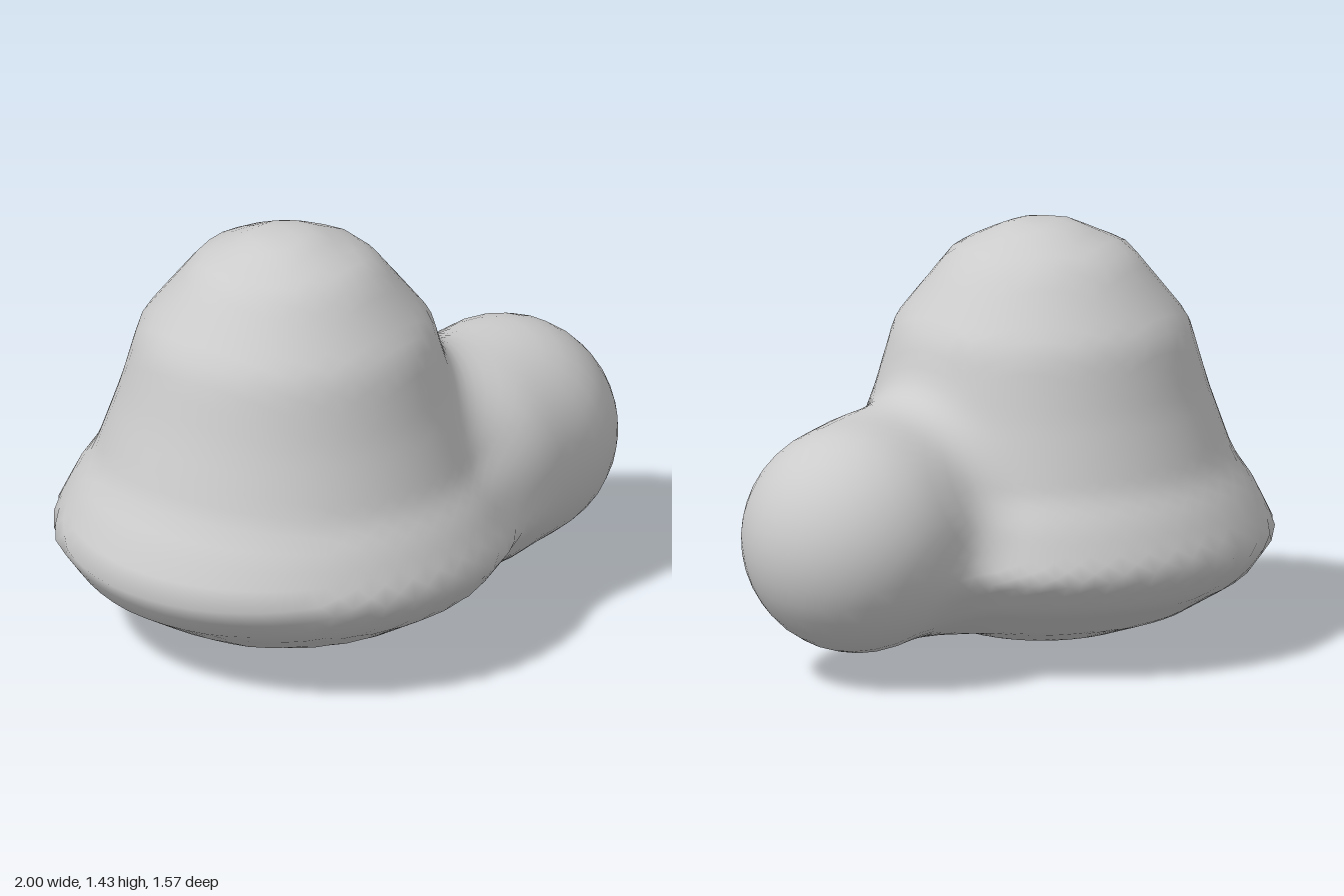
import * as THREE from 'three';
import { mergeVertices } from 'three/addons/utils/BufferGeometryUtils.js';

// Bell body: profile (radius, y) turned about a vertical axis
const BODY_X = -0.21;
const PROFILE = [
  [0, 0], [0.1, 0], [0.3, 0.05], [0.5, 0.12], [0.7, 0.24], [0.79, 0.365],
  [0.71, 0.53], [0.645, 0.62], [0.56, 0.86], [0.495, 1.09],
  [0.3, 1.335], [0.1, 1.428], [0, 1.428],
];

// Side lobe: a short capsule
const LOBE_A = new THREE.Vector3(0.4, 0.485, 0.3);
const LOBE_B = new THREE.Vector3(0.612, 0.485, 0.3);
const LOBE_R = 0.388;
const BLEND = 0.16;

// Signed distance to the turned profile (negative inside)
function bodyDistance(p) {
  const r = Math.hypot(p.x - BODY_X, p.z), y = p.y;
  let best = Infinity, inside = false;
  for (let i = 0; i < PROFILE.length - 1; i++) {
    const [ax, ay] = PROFILE[i], [bx, by] = PROFILE[i + 1];
    const dx = bx - ax, dy = by - ay;
    const t = THREE.MathUtils.clamp(((r - ax) * dx + (y - ay) * dy) / (dx * dx + dy * dy), 0, 1);
    best = Math.min(best, Math.hypot(r - ax - t * dx, y - ay - t * dy));
    if ((ay > y) !== (by > y) && r < ax + (dx * (y - ay)) / dy) inside = !inside;
  }
  return inside ? -best : best;
}

const axis = new THREE.Line3(LOBE_A, LOBE_B);
const nearest = new THREE.Vector3();
function lobeDistance(p) {
  axis.closestPointToPoint(p, true, nearest);
  return nearest.distanceTo(p) - LOBE_R;
}

// Smooth union of body and lobe
function blobDistance(p) {
  const a = bodyDistance(p), b = lobeDistance(p);
  const h = Math.max(BLEND - Math.abs(a - b), 0) / BLEND;
  return Math.min(a, b) - h * h * BLEND / 4;
}

export function createModel() {
  const group = new THREE.Group();
  group.name = 'blob';

  // Shrink a sphere onto the blended surface along its radii
  let geometry = new THREE.IcosahedronGeometry(1, 15);
  geometry.deleteAttribute('uv');
  geometry.deleteAttribute('normal');
  geometry = mergeVertices(geometry, 1e-4);
  const centre = new THREE.Vector3(0.05, 0.5, 0.08);
  const pos = geometry.attributes.position;
  const dir = new THREE.Vector3(), p = new THREE.Vector3();
  for (let i = 0; i < pos.count; i++) {
    dir.fromBufferAttribute(pos, i).normalize();
    let t = 1.6;
    for (let step = 0; step < 80; step++) {
      p.copy(centre).addScaledVector(dir, t);
      const d = blobDistance(p);
      if (d < 1e-4) break;
      t -= d * 0.9;
    }
    pos.setXYZ(i, p.x, p.y, p.z);
  }
  geometry.computeVertexNormals();

  const mesh = new THREE.Mesh(geometry, new THREE.MeshStandardMaterial({ color: 0xcccccc }));
  mesh.name = 'bellBodyWithSideLobe';
  group.add(mesh);
  return group;
}
